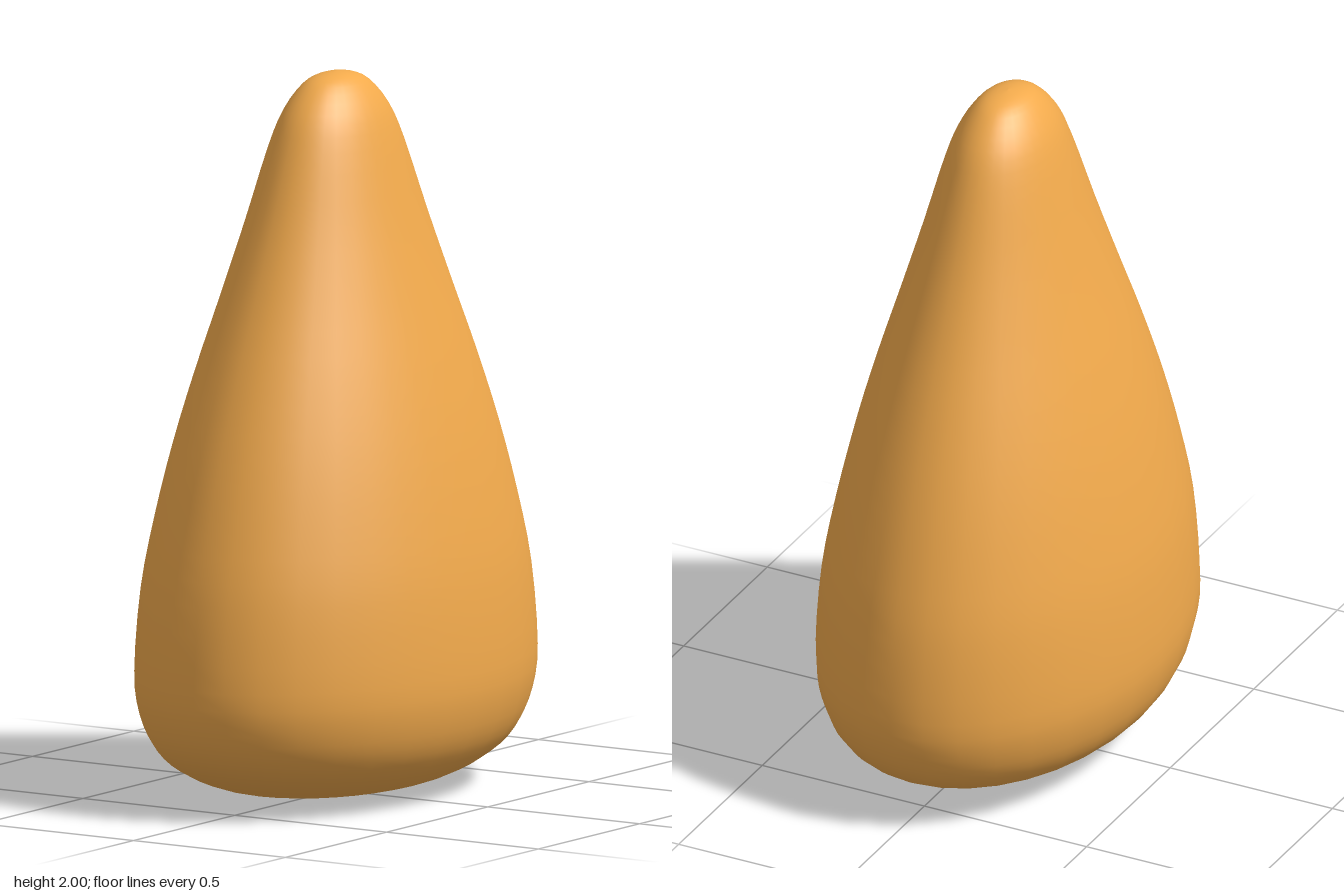
import * as THREE from 'three';

// Half-depth (z radius) and height along the silhouette, from base to tip
const PROFILE = [
  [0, 0], [0.14, 0.005], [0.28, 0.02], [0.42, 0.045], [0.55, 0.095], [0.635, 0.16],
  [0.685, 0.25], [0.703, 0.37], [0.681, 0.6], [0.632, 0.8], [0.568, 1.0], [0.49, 1.2],
  [0.403, 1.4], [0.318, 1.6], [0.238, 1.8], [0.185, 1.9], [0.118, 1.968], [0.06, 1.993], [0, 2],
];
const WIDTH_RATIO = 0.67; // x radius relative to z radius

export function createModel() {
  const group = new THREE.Group();
  group.name = 'roundedCone';

  // Smooth profile, turned and then flattened sideways into an oval section
  const curve = new THREE.SplineCurve(PROFILE.map(([r, y]) => new THREE.Vector2(r, y)));
  const points = curve.getPoints(54);
  points.forEach((p) => p.set(Math.max(p.x, 0), THREE.MathUtils.clamp(p.y, 0, 2)));
  const geometry = new THREE.LatheGeometry(points, 32);
  geometry.scale(WIDTH_RATIO, 1, 1);

  const body = new THREE.Mesh(geometry, new THREE.MeshStandardMaterial({ color: 0xf2aa4c }));
  body.name = 'body';
  group.add(body);
  return group;
}
